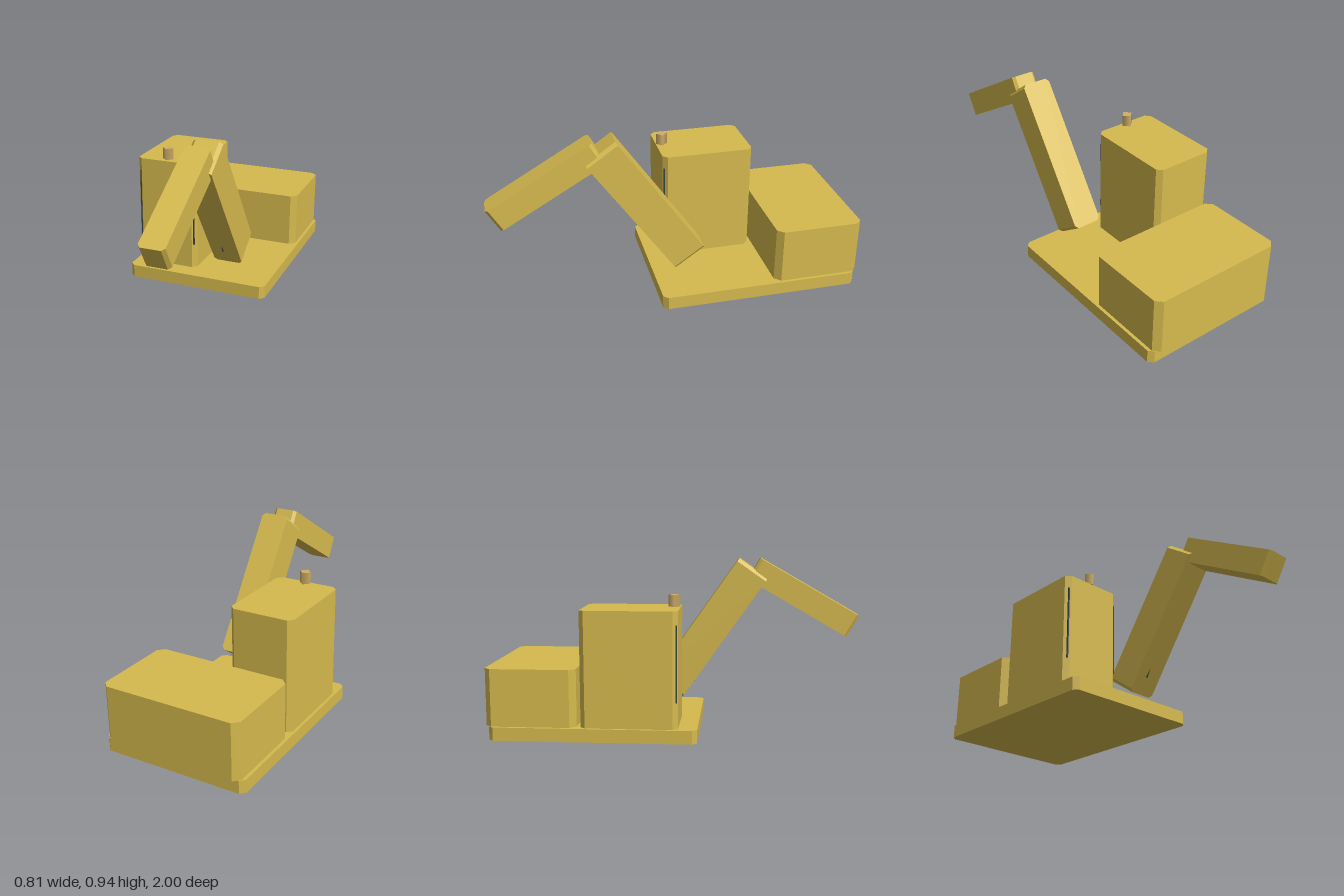
import * as THREE from 'three';

const mat = (name, color) => Object.assign(new THREE.MeshStandardMaterial({ color }), { name });

// Block with four cut corners in plan (width x, length z), lying flat, centred on its origin
function cutCornerBlock(width, length, height, cut) {
  const x = width / 2, y = length / 2;
  const shape = new THREE.Shape([
    [x, -y + cut], [x, y - cut], [x - cut, y], [-x + cut, y],
    [-x, y - cut], [-x, -y + cut], [-x + cut, -y], [x - cut, -y],
  ].map(([a, b]) => new THREE.Vector2(a, b)));
  const geometry = new THREE.ExtrudeGeometry(shape, { depth: height, bevelEnabled: false });
  geometry.translate(0, 0, -height / 2);
  geometry.rotateX(-Math.PI / 2);
  return geometry;
}

export function createModel() {
  const model = new THREE.Group();
  model.name = 'excavatorUpper';
  const yellow = mat('machineYellow', 0xd6ba4e);
  const tan = mat('beaconTan', 0xd0ae68);
  const dark = mat('darkGlass', 0x35424a);

  const add = (name, geometry, material, [x, y, z], tiltDegrees = 0, parent = model) => {
    const mesh = new THREE.Mesh(geometry, material);
    mesh.name = name;
    mesh.position.set(x, y, z);
    mesh.rotation.x = THREE.MathUtils.degToRad(tiltDegrees);
    parent.add(mesh);
    return mesh;
  };

  // Deck, engine housing and cab
  add('deck', cutCornerBlock(0.81, 1.1, 0.072, 0.025), yellow, [0, 0.036, -0.43]);
  add('engineHousing', cutCornerBlock(0.776, 0.484, 0.308, 0.033), yellow, [0, 0.226, -0.758]);
  add('cab', cutCornerBlock(0.356, 0.514, 0.618, 0.026), yellow, [-0.212, 0.381, -0.237]);

  // Windscreen sunk in the cab, its edges showing at the cut corners
  add('windscreen', new THREE.BoxGeometry(0.33, 0.406, 0.009), dark, [-0.212, 0.414, 0.0098]);

  // Roof beacon
  add('beacon', new THREE.CylinderGeometry(0.032, 0.032, 0.063, 4), tan, [-0.212, 0.7285, -0.01]);

  // Folding arm: boom rising forwards, stick hanging from its tip
  const boom = add('boom', cutCornerBlock(0.162, 0.83, 0.194, 0.018), yellow, [0.16, 0.539, 0.169], -55);
  add('stick', cutCornerBlock(0.137, 0.638, 0.137, 0.016), yellow, [0.161, 0.717, 0.689], 30);

  // Tip of the lift cylinder breaking through the boom underside
  const tip = new THREE.ConeGeometry(0.006, 0.055, 4);
  tip.rotateX(Math.PI / 2);
  add('liftCylinderTip', tip, dark, [-0.01, -0.097, -0.285], 0, boom);

  return model;
}
